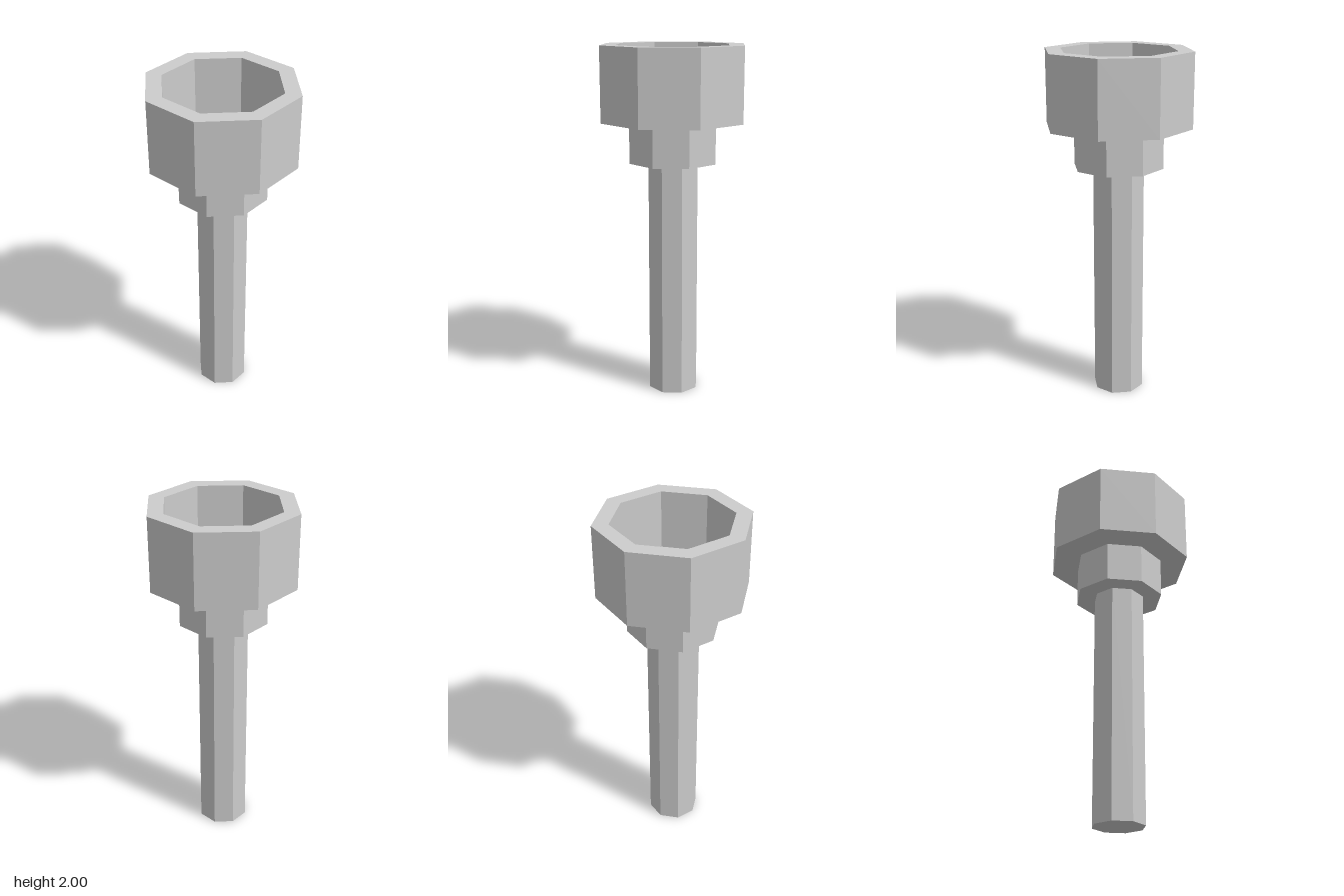
import * as THREE from 'three';

const SIDES = 8;

export function createModel() {
  const model = new THREE.Group();
  model.name = 'socketHeadBolt';

  const steel = new THREE.MeshStandardMaterial({ color: 0xcccccc });
  steel.name = 'steel grey';
  steel.flatShading = true;

  // Turns a closed [radius, height] profile, listed bottom to top, into an eight-sided solid
  const addTurned = (name, profile) => {
    const points = profile.map(([r, y]) => new THREE.Vector2(r, y));
    const mesh = new THREE.Mesh(new THREE.LatheGeometry(points, SIDES), steel);
    mesh.name = name;
    model.add(mesh);
  };

  // Long plain shaft
  addTurned('shaft', [[0, 0], [0.147, 0], [0.147, 1.355], [0, 1.355]]);

  // Stepped collar under the head
  addTurned('collar', [[0, 1.355], [0.257, 1.355], [0.257, 1.585], [0, 1.585]]);

  // Head with a deep recess and a flat floor
  addTurned('head', [
    [0, 1.585], [0.417, 1.585], [0.417, 2],
    [0.328, 2], [0.328, 1.67], [0, 1.67],
  ]);

  return model;
}
